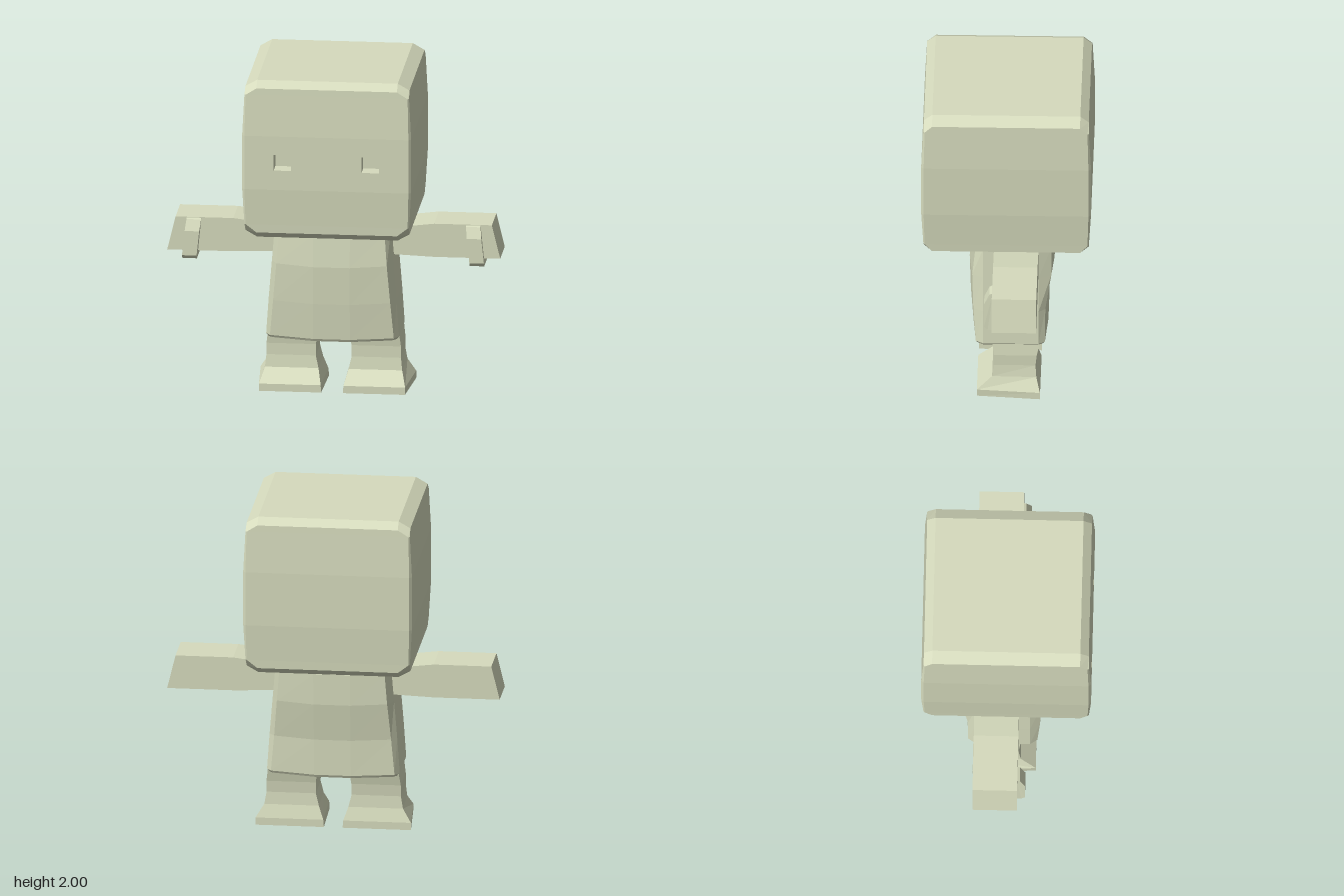
import * as THREE from 'three';

const material = new THREE.MeshStandardMaterial({ color: 0xd6dbbd, flatShading: true });
const openMaterial = material.clone();
openMaterial.side = THREE.DoubleSide;

// Skin a list of equal-length rings of [x, y, z] points, cap the ends, face outwards.
function loft(name, rings, { capStart = true, capEnd = true, skip = () => false, mat = material } = {}) {
  const tris = [];
  const n = rings[0].length;
  for (let i = 0; i < rings.length - 1; i++) {
    for (let j = 0; j < n; j++) {
      if (skip(i, j)) continue;
      const k = (j + 1) % n;
      const [a, b, c, d] = [rings[i][j], rings[i][k], rings[i + 1][k], rings[i + 1][j]];
      tris.push([a, b, c], [a, c, d]);
    }
  }
  const last = rings[rings.length - 1];
  for (let j = 1; j < n - 1; j++) {
    if (capStart) tris.push([rings[0][0], rings[0][j + 1], rings[0][j]]);
    if (capEnd) tris.push([last[0], last[j], last[j + 1]]);
  }
  // Signed volume about the first point tells whether the winding must be flipped
  const o = new THREE.Vector3(...rings[0][0]);
  let volume = 0;
  for (const t of tris) {
    const [a, b, c] = t.map((p) => new THREE.Vector3(...p).sub(o));
    volume += a.dot(b.cross(c));
  }
  if (volume < 0) tris.forEach((t) => t.reverse());
  const geometry = new THREE.BufferGeometry();
  geometry.setAttribute('position', new THREE.Float32BufferAttribute(tris.flat(2), 3));
  geometry.computeVertexNormals();
  const mesh = new THREE.Mesh(geometry, mat);
  mesh.name = name;
  return mesh;
}

// Rectangle with cut corners, lying flat at height y
function cutRect(y, hx, hz, cx, cz) {
  const [ix, iz] = [hx - cx, hz - cz];
  return [[-ix, y, hz], [ix, y, hz], [hx, y, iz], [hx, y, -iz],
    [ix, y, -hz], [-ix, y, -hz], [-hx, y, -iz], [-hx, y, iz]];
}

function createHead() {
  const head = new THREE.Group();
  head.name = 'head';
  const rings = [
    [1.03, 0.42, 0.44, 0, 0],
    [1.07, 0.49, 0.49, 0.07, 0.05],
    [1.12, 0.492, 0.492, 0.008, 0.008],
    [1.34, 0.505, 0.505, 0.015, 0.015],
    [1.67, 0.505, 0.505, 0.015, 0.015],
    [1.92, 0.492, 0.492, 0.008, 0.008],
    [1.96, 0.49, 0.49, 0.07, 0.05],
    [2.0, 0.42, 0.44, 0, 0],
  ].map((r) => cutRect(...r));
  head.add(loft('skull', rings, { skip: (i, j) => i === 3 && j === 0 }));

  // Middle of the face, pierced by two square eye sockets
  const face = new THREE.Shape([[-0.49, 1.34], [0.49, 1.34], [0.49, 1.67], [-0.49, 1.67]]
    .map((p) => new THREE.Vector2(...p)));
  for (const s of [1, -1]) {
    const square = [[0.21, 1.46], [0.315, 1.46], [0.315, 1.555], [0.21, 1.555]].map(([x, y]) => [s * x, y]);
    face.holes.push(new THREE.Path(square.map((p) => new THREE.Vector2(...p))));
    const socket = [0.505, 0.405].map((z) => square.map(([x, y]) => [x, y, z]));
    head.add(loft(s > 0 ? 'leftEyeSocket' : 'rightEyeSocket', socket, { capStart: false, mat: openMaterial }));
  }
  const panel = new THREE.Mesh(new THREE.ShapeGeometry(face), material);
  panel.name = 'facePanel';
  panel.position.z = 0.505;
  head.add(panel);
  return head;
}

function createTorso() {
  // y, side half width, front and back panel half width, front z, back z
  const rings = [
    [0.335, 0.385, 0.36, 0.195, -0.235],
    [0.35, 0.397, 0.37, 0.203, -0.243],
    [0.57, 0.382, 0.35, 0.218, -0.245],
    [0.8, 0.363, 0.33, 0.225, -0.28],
    [0.99, 0.347, 0.315, 0.205, -0.282],
    [1.035, 0.24, 0.21, 0.175, -0.25],
  ].map(([y, side, panel, front, back], i) => {
    const dip = i === 5 ? 0 : 0.012; // middle hangs a little lower than the edges
    const half = [
      [0.11, y - dip, front],
      [panel, y, front - 0.02],
      [side, y, Math.min(0.14, front - 0.04)],
      [side, y, -0.19],
      [panel, y, back + 0.015],
      [0.11, y - dip, back],
    ];
    return [...half, ...half.map(([x, a, z]) => [-x, a, z]).reverse()];
  });
  return loft('torso', rings);
}

function createArm(s, side) {
  const arm = new THREE.Group();
  arm.name = side + 'Arm';
  // top x, bottom x, top y, bottom y
  const rings = [
    [0.3, 0.3, 0.998, 0.842],
    [0.6, 0.6, 1.035, 0.83],
    [0.945, 0.995, 1.035, 0.83],
  ].map(([xt, xb, yt, yb]) => [
    [s * xt, yt, 0.075], [s * xt, yt, -0.19], [s * xb, yb, -0.19], [s * xb, yb, 0.075],
  ]);
  arm.add(loft('sleeve', rings));

  // Thumb wraps the front and underside, leaning with the end of the arm
  const profile = [[0.07, 1.033], [0.09, 1.025], [0.122, 0.96], [0.122, 0.81], [0.1, 0.787], [-0.055, 0.787], [-0.055, 0.84], [0.07, 0.84]];
  const thumb = [0.815, 0.902].map((x) => profile.map(([z, y]) => {
    const lean = Math.max(0, y - 0.83) * 0.12;
    return [s * (x - lean), y, z];
  }));
  arm.add(loft('thumb', thumb));
  return arm;
}

function createLeg(s, side) {
  // y, inner x, outer x, front z, back z, extra width at the heel
  const rings = [
    [0, 0.065, 0.435, 0.175, -0.2, 0.03],
    [0.045, 0.068, 0.437, 0.175, -0.2, 0.028],
    [0.125, 0.09, 0.41, 0.085, -0.178, 0.005],
    [0.2, 0.107, 0.402, 0.075, -0.173, 0],
    [0.27, 0.106, 0.402, 0.075, -0.18, 0],
    [0.36, 0.095, 0.39, 0.085, -0.2, 0],
  ].map(([y, xi, xo, zf, zb, heel]) => [
    [s * xi, y, zf], [s * xo, y, zf], [s * (xo + heel), y, zb], [s * (xi - heel * 0.3), y, zb],
  ]);
  return loft(side + 'Leg', rings);
}

export function createModel() {
  const model = new THREE.Group();
  model.name = 'blockFigure';
  model.add(createHead(), createTorso());
  for (const [s, side] of [[1, 'left'], [-1, 'right']]) {
    model.add(createArm(s, side), createLeg(s, side));
  }
  return model;
}
